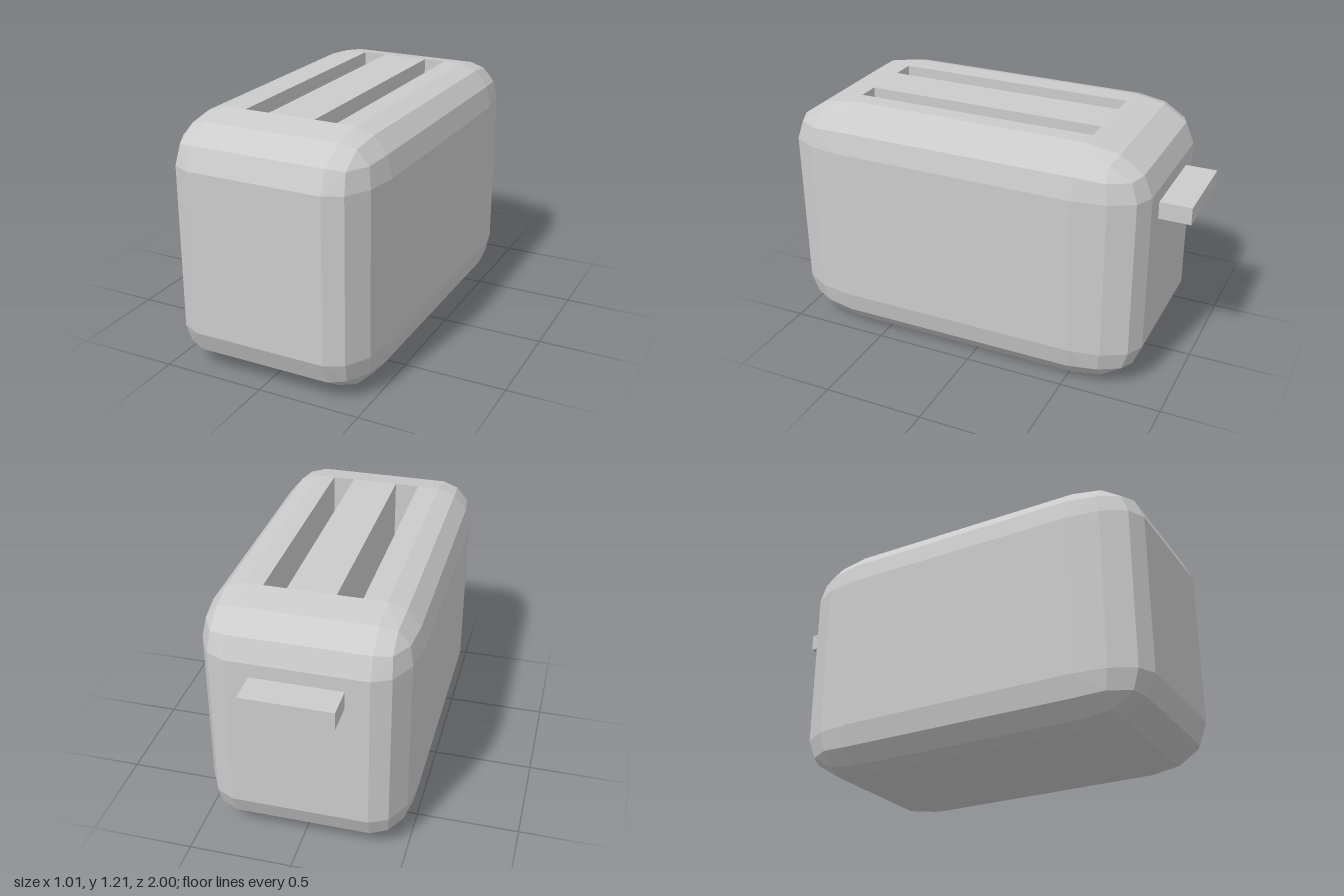
import * as THREE from 'three';
import { ConvexGeometry } from 'three/addons/geometries/ConvexGeometry.js';

const TOP = 1.21, FLAT_X = 0.33, FLAT_Z0 = -0.525, FLAT_Z1 = 0.68;
const SLOT_FLOOR = 0.2;
const SLOTS = [[-0.22, -0.10], [0.13, 0.24]];

const material = new THREE.MeshStandardMaterial({ color: 0xcccccc, flatShading: true });
const lining = new THREE.MeshStandardMaterial({ color: 0xcccccc, flatShading: true, side: THREE.DoubleSide });

function addMesh(parent, name, geometry, mat = material) {
  const mesh = new THREE.Mesh(geometry, mat);
  mesh.name = name;
  parent.add(mesh);
  return mesh;
}

// Unit directions of one three-segment bevelled corner
function cornerDirections() {
  const dirs = [];
  const c = Math.cos(Math.PI / 6);
  for (let a = 0; a < 3; a++) {
    for (const [p, q, r] of [[1, 0, 0], [c, 0.5, 0], [c, 0, 0.5], [0.77, 0.45, 0.45]]) {
      const d = [0, 0, 0];
      d[a] = p;
      d[(a + 1) % 3] = q;
      d[(a + 2) % 3] = r;
      dirs.push(d);
    }
  }
  return dirs;
}

// Bevelled shell, left open where the flat top goes
function shellGeometry() {
  const points = [];
  for (const sx of [-1, 1]) for (const sy of [-1, 1]) for (const sz of [-1, 1]) {
    for (const [dx, dy, dz] of cornerDirections()) {
      points.push(new THREE.Vector3(
        sx * (FLAT_X + 0.175 * dx),
        (sy > 0 ? 1.0 : 0.21) + sy * 0.21 * dy,
        (sz > 0 ? FLAT_Z1 : FLAT_Z0) + sz * 0.32 * dz
      ));
    }
  }
  const hull = new ConvexGeometry(points).getAttribute('position');
  const kept = [];
  for (let i = 0; i < hull.count; i += 3) {
    const isTop = [0, 1, 2].every((k) => hull.getY(i + k) > TOP - 1e-4);
    if (isTop) continue;
    for (let k = 0; k < 3; k++) kept.push(hull.getX(i + k), hull.getY(i + k), hull.getZ(i + k));
  }
  const geometry = new THREE.BufferGeometry();
  geometry.setAttribute('position', new THREE.Float32BufferAttribute(kept, 3));
  geometry.computeVertexNormals();
  return geometry;
}

// Box without its top face
function openBox(w, h, d) {
  const geometry = new THREE.BoxGeometry(w, h, d);
  const index = Array.from(geometry.index.array);
  index.splice(12, 6);
  geometry.setIndex(index);
  geometry.clearGroups();
  return geometry;
}

export function createModel() {
  const model = new THREE.Group();
  model.name = 'toaster';

  const body = new THREE.Group();
  body.name = 'body';
  model.add(body);

  // Bevelled housing
  addMesh(body, 'housing', shellGeometry());

  // Flat top strips on either side of the slots
  const length = FLAT_Z1 - FLAT_Z0;
  const midZ = (FLAT_Z0 + FLAT_Z1) / 2;
  const edges = [-FLAT_X, ...SLOTS.flat(), FLAT_X];
  for (let i = 0; i < edges.length; i += 2) {
    const strip = new THREE.PlaneGeometry(edges[i + 1] - edges[i], length).rotateX(-Math.PI / 2);
    addMesh(body, 'topStrip', strip).position.set((edges[i] + edges[i + 1]) / 2, TOP, midZ);
  }

  // Bread slots
  const depth = TOP - SLOT_FLOOR;
  for (const [x0, x1] of SLOTS) {
    addMesh(body, 'breadSlot', openBox(x1 - x0, depth, length), lining)
      .position.set((x0 + x1) / 2, SLOT_FLOOR + depth / 2, midZ);
  }

  // Lever at the back, reaching into the slots
  addMesh(model, 'lever', new THREE.BoxGeometry(0.435, 0.085, 0.695))
    .position.set(-0.002, 0.8875, -0.6525);

  return model;
}
